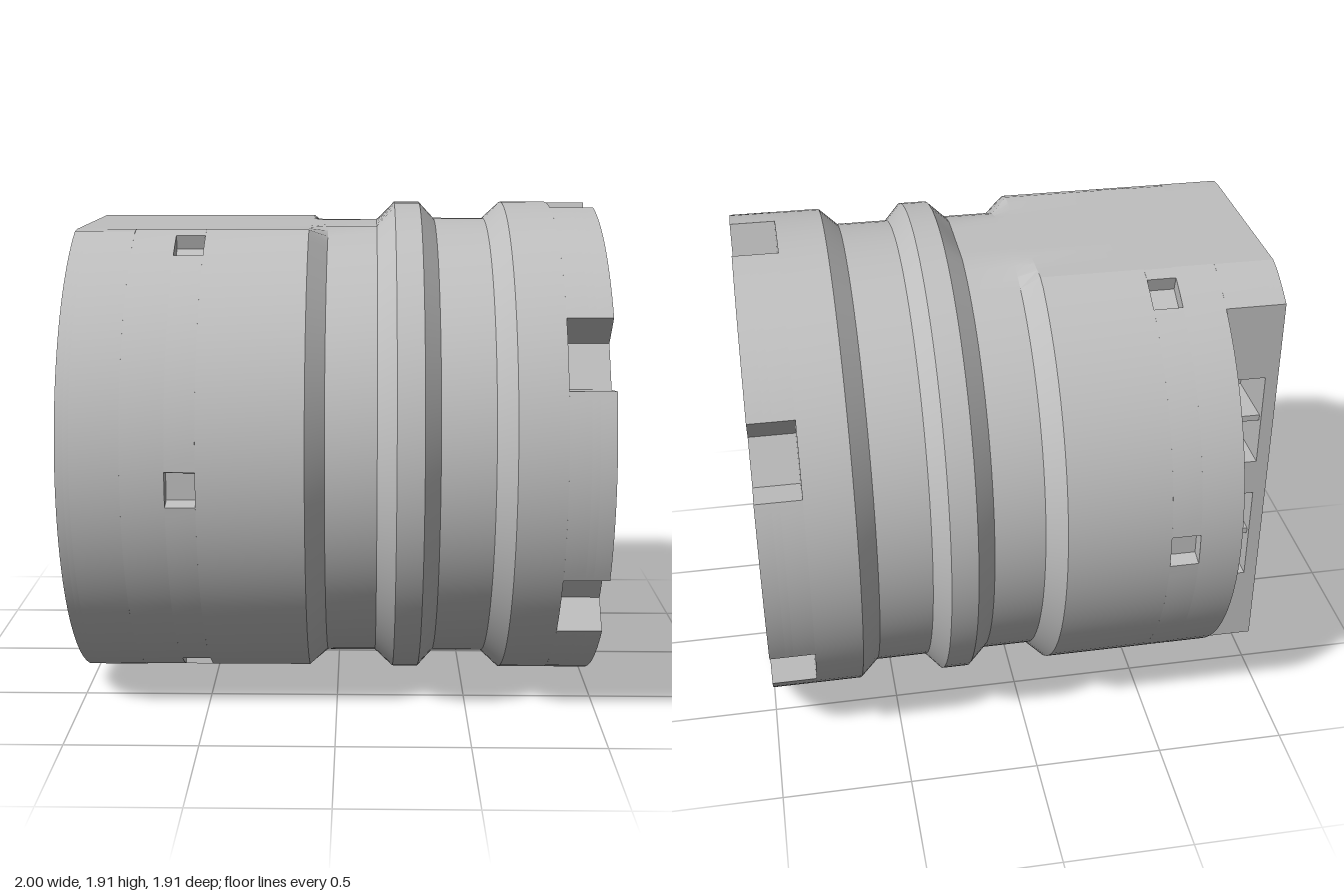
import * as THREE from 'three';
import { toCreasedNormals } from 'three/addons/utils/BufferGeometryUtils.js';

const R = 0.955, FLAT = 0.875, STEP = 0.55, WALL = 0.06;
const rad = THREE.MathUtils.degToRad;
const clamp = THREE.MathUtils.clamp;
const V = (u, v) => new THREE.Vector2(u, v);

// Round outline with optional flats above and below and six optional notches.
// Section coordinates: u runs towards -z, v is up.
function outline(r, { flat = 9, start = 30, notch = null } = {}) {
  const pts = [];
  for (let k = 0; k < 6; k++) {
    const a = rad(start + 60 * k);
    const d = notch ? Math.asin(notch.outer / r) : 0;
    if (notch) {
      const c = Math.cos(a), s = Math.sin(a);
      for (const w of [-notch.inner, notch.inner])
        pts.push(V(notch.floor * c - w * s, notch.floor * s + w * c));
    }
    const n = 16;
    for (let i = 0; i < n + (notch ? 1 : 0); i++) {
      const t = a + d + ((rad(60) - 2 * d) * i) / n;
      pts.push(V(r * Math.cos(t), clamp(r * Math.sin(t), -flat, flat)));
    }
  }
  return pts;
}

// Arc of the flattened section between two angles
function arc(r, from, to, flat = FLAT, n = 80) {
  return Array.from({ length: n + 1 }, (_, i) => {
    const t = from + ((to - from) * i) / n;
    return V(r * Math.cos(t), clamp(r * Math.sin(t), -flat, flat));
  });
}

// Regular polygon hole
function poly(u, v, r, sides, turn = 0) {
  return Array.from({ length: sides }, (_, i) => {
    const t = turn + (i * 2 * Math.PI) / sides;
    return V(u + r * Math.cos(t), v + r * Math.sin(t));
  });
}

export function createModel() {
  const model = new THREE.Group();
  model.name = 'housing';
  const grey = new THREE.MeshStandardMaterial({ color: 0xbfbfbf });
  grey.name = 'grey';

  function add(name, geometry) {
    const mesh = new THREE.Mesh(toCreasedNormals(geometry, 0.3), grey);
    mesh.name = name;
    model.add(mesh);
    return mesh;
  }
  // Slab of a section from x0 to x1
  function slab(name, x0, x1, points, holes = []) {
    const shape = new THREE.Shape(points);
    shape.holes = holes.map((h) => new THREE.Path(h));
    const g = new THREE.ExtrudeGeometry(shape, { depth: x1 - x0, bevelEnabled: false });
    return add(name, g.rotateY(Math.PI / 2).translate(x0, 0, 0));
  }
  function box(name, x0, x1, y0, y1, z0, z1) {
    const g = new THREE.BoxGeometry(x1 - x0, y1 - y0, z1 - z0);
    return add(name, g.translate((x0 + x1) / 2, (y0 + y1) / 2, (z0 + z1) / 2));
  }

  // Ribbed tube, flattened above and below towards the rear
  const outer = [[R, -0.5], [R, -0.11], [0.89, -0.04], [0.89, 0.15], [R, 0.22], [R, 0.32],
    [0.89, 0.38], [0.89, 0.58], [R, 0.65], [R, 0.83]];
  const inner = outer.map(([r, x]) => [r - WALL, x]).reverse();
  const profile = [...outer, ...inner, outer[0]].map((p) => V(...p));
  const tube = new THREE.LatheGeometry(profile, 96).rotateZ(-Math.PI / 2);
  const pos = tube.attributes.position;
  for (let i = 0; i < pos.count; i++) {
    const j = i % profile.length;
    const isInner = j >= outer.length && j < outer.length * 2;
    const lim = isInner ? FLAT - WALL : FLAT;
    if (pos.getX(i) < 0.16) pos.setY(i, clamp(pos.getY(i), -lim, lim));
  }
  add('ribbedTube', tube);

  // Notched band and plain band behind the tube
  const bore = outline(R - WALL, { flat: FLAT - WALL });
  const clipNotch = { floor: 0.9, inner: 0.05, outer: 0.065 };
  slab('clipBand', -0.61, -0.5,
    outline(R, { flat: FLAT, start: 0, notch: clipNotch }), [outline(0.86, { flat: 0.815 })]);
  slab('rearBand', -0.77, -0.61, outline(R, { flat: FLAT }), [bore]);

  // Front end: notched rim, backing and drilled flange
  const notch = { floor: 0.82, inner: 0.09, outer: 0.14 };
  const wideNotch = { floor: 0.77, inner: 0.14, outer: 0.2 };
  const rim = outline(R, { notch });
  const opening = outline(0.56);
  slab('frontRim', 0.83, 0.91, rim, [outline(0.9, { notch: wideNotch })]);
  slab('flangeBacking', 0.91, 0.94, rim, [opening]);
  const holes = [opening];
  for (let k = 0; k < 12; k++) {
    const a = rad(15 + 30 * k);
    const u = 0.82 * Math.cos(a), v = 0.82 * Math.sin(a);
    holes.push(poly(u, v, 0.092, 6, a));
    // Faceted screw head at the bottom of the hole
    const cone = new THREE.ConeGeometry(0.075, 0.04, 5).rotateZ(-Math.PI / 2);
    add('flangeScrew', cone.translate(0.96, v, -u));
  }
  for (let k = 0; k < 6; k++) {
    const a = rad(60 * k);
    holes.push(poly(0.83 * Math.cos(a), 0.83 * Math.sin(a), 0.055, 5, a));
    // Closed back of each rim notch
    const back = new THREE.BoxGeometry(0.02, 0.17, 0.3).translate(0.82, 0.845, 0);
    add('notchBack', back.rotateX(a));
  }
  for (const s of [-1, 1]) holes.push(poly(0, 0.76 * s, 0.03, 3, Math.PI));
  slab('frontFlange', 0.94, 1, rim, holes);

  // Rear end, cut off straight on the -z side
  const t0 = Math.acos(STEP / R), t1 = Math.acos(STEP / (R - WALL));
  const cut = arc(R, t0, 2 * Math.PI - t0);
  const cutInner = arc(R - WALL, t1, 2 * Math.PI - t1, FLAT - WALL).reverse();
  slab('rearWall', -0.95, -0.77, [...cut, ...cutInner]);
  const axle = poly(0, 0, 0.085, 10);
  const screws = [
    [-0.54, 0.68, 0.08, 6], [-0.57, -0.55, 0.08, 6], [0.42, 0.66, 0.04, 6], [0.42, -0.72, 0.04, 6],
    [-0.4, 0.67, 0.035, 5], [-0.42, -0.64, 0.035, 5], [-0.22, 0.45, 0.012, 4],
    [0.19, 0, 0.03, 3], [-0.19, 0, 0.03, 3], [0, 0.19, 0.03, 3], [0, -0.19, 0.03, 3],
  ].map((s) => poly(...s, Math.atan2(s[1], s[0])));
  slab('rearPlate', -1, -0.97, cut, [axle, ...screws]);
  slab('rearPlateBacking', -0.97, -0.95, cut, [axle]);

  // Four-sided boss around the axle hole
  const boss = [[0.12, -0.955], [0.21, -0.955], [0.13, -0.9], [0.12, -0.9], [0.12, -0.955]];
  add('axleBoss', new THREE.LatheGeometry(boss.map((p) => V(...p)), 4).rotateZ(-Math.PI / 2));

  // Recessed step with two screw holes
  const ts = Math.acos(0.5 / 0.94);
  const segment = arc(0.94, -ts, ts);
  slab('stepPlate', -0.77, -0.74, segment, [poly(0.8, 0.32, 0.06, 6), poly(0.8, -0.32, 0.06, 6)]);
  slab('stepBacking', -0.74, -0.72, segment);

  // Step wall with two socket windows
  for (const [y0, y1] of [[-0.77, -0.46], [-0.06, 0.09], [0.47, 0.77]])
    box('stepWall', -0.95, -0.8, y0, y1, -STEP, -0.5);
  box('stepWallEdge', -0.8, -0.77, -0.77, 0.77, -STEP, -0.5);

  // Sockets behind the windows
  for (const [y0, y1] of [[-0.46, -0.06], [0.09, 0.47]]) {
    const mid = (y0 + y1) / 2;
    box('socketFloor', -0.95, -0.78, y0, y1, -0.29, -0.27);
    box('socketSide', -0.95, -0.78, y0 - 0.02, y0, -0.52, -0.27);
    box('socketSide', -0.95, -0.78, y1, y1 + 0.02, -0.52, -0.27);
    box('socketDivider', -0.95, -0.8, mid - 0.012, mid + 0.012, -0.53, -0.28);
    box('socketCover', -0.8, -0.78, y0, y1, -0.52, -0.27);
  }

  model.position.y = R;
  const root = new THREE.Group();
  root.name = 'model';
  root.add(model);
  return root;
}
